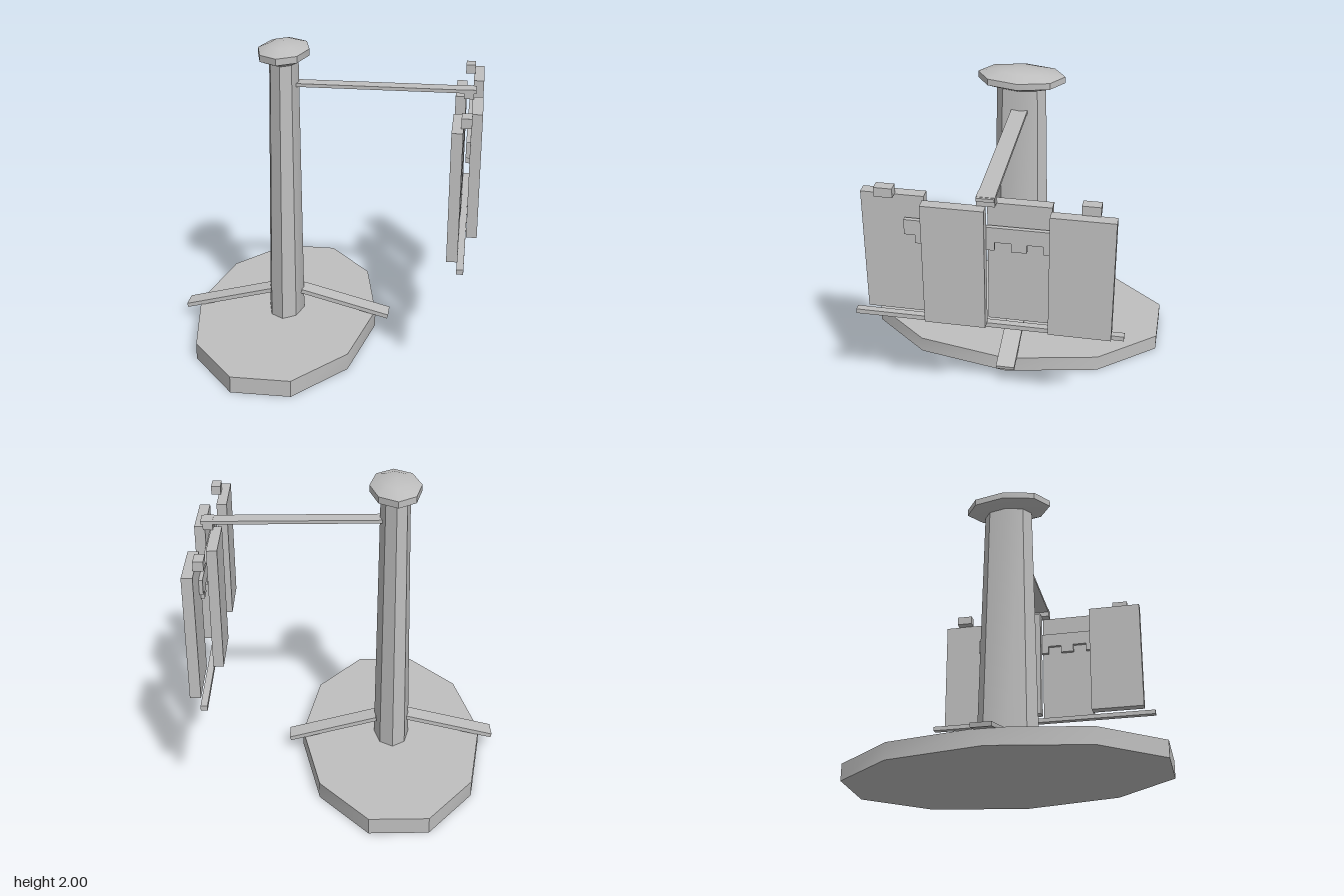
import * as THREE from 'three';
import { toCreasedNormals } from 'three/addons/utils/BufferGeometryUtils.js';

export function createModel() {
  const model = new THREE.Group();
  model.name = 'slidingPanelSign';
  const gray = new THREE.MeshStandardMaterial({ color: 0xbfbfbf });
  gray.name = 'light gray';

  const add = (name, geometry, x = 0, y = 0, z = 0) => {
    const mesh = new THREE.Mesh(geometry, gray);
    mesh.name = name;
    mesh.position.set(x, y, z);
    model.add(mesh);
    return mesh;
  };
  // Box given by its extents along each axis
  const box = (name, [x0, x1], [y0, y1], [z0, z1]) =>
    add(name, new THREE.BoxGeometry(x1 - x0, y1 - y0, z1 - z0),
      (x0 + x1) / 2, (y0 + y1) / 2, (z0 + z1) / 2);
  const creased = (geometry) => toCreasedNormals(geometry, THREE.MathUtils.degToRad(30));

  const postX = -0.283;

  // Ten-sided oval base
  const base = new THREE.CylinderGeometry(1, 1, 0.11, 10, 1, false, Math.PI / 2);
  base.scale(0.617, 1, 1.051);
  add('base', creased(base), postX, 0.055, 0);

  // Tapered eight-sided column
  const column = new THREE.CylinderGeometry(0.8, 1, 1.77, 8);
  column.scale(0.12, 1, 0.2);
  add('column', creased(column), postX, 0.995, 0);

  // Faceted cap
  const profile = [[0, 1.87], [0.57, 1.87], [1, 1.91], [1, 1.953], [0.55, 1.985], [0, 2]];
  const cap = new THREE.LatheGeometry(profile.map(([r, y]) => new THREE.Vector2(r, y)), 8);
  cap.scale(0.167, 1, 0.285);
  add('cap', creased(cap), postX, 0, 0);

  // Sloping struts at the foot of the column
  const strut = (name, inner, outer, z) => {
    const d = outer.clone().sub(inner);
    const mid = inner.clone().add(outer).multiplyScalar(0.5);
    const mesh = add(name, new THREE.BoxGeometry(d.length(), 0.028, 0.125), mid.x, mid.y, z);
    mesh.rotation.z = Math.atan2(d.y, d.x);
  };
  strut('rightStrut', new THREE.Vector2(-0.385, 0.25), new THREE.Vector2(-0.983, 0.094), 0.003);
  strut('leftStrut', new THREE.Vector2(-0.175, 0.25), new THREE.Vector2(0.423, 0.096), -0.012);

  // Arm reaching out to the panels
  box('arm', [-0.2, 0.953], [1.713, 1.735], [-0.053, 0.053]);

  // Four panels staggered between an inner and an outer track
  const height = [0.865, 1.677];
  box('innerPanel', [0.823, 0.89], height, [-0.377, 0]);
  box('innerPanel', [0.823, 0.89], height, [0.372, 0.75]);
  box('outerPanel', [0.932, 1], height, [-0.755, -0.377]);
  box('outerPanel', [0.932, 1], height, [0, 0.372]);

  // Bottom rail and top hangers
  box('bottomRail', [0.887, 0.929], [0.82, 0.851], [-0.828, 0.824]);
  for (const z of [-0.604, 0, 0.6]) {
    box('hanger', [0.876, 0.939], [1.677, 1.737], [z - 0.055, z + 0.055]);
  }

  // Middle bar with five small blocks below it
  box('middleBar', [0.908, 0.935], [1.437, 1.537], [-0.492, 0.488]);
  for (let i = -2; i <= 2; i++) {
    const z = i * 0.19 - 0.002;
    box('barBlock', [0.908, 0.935], [1.382, 1.437], [z - 0.046, z + 0.046]);
  }

  return model;
}
